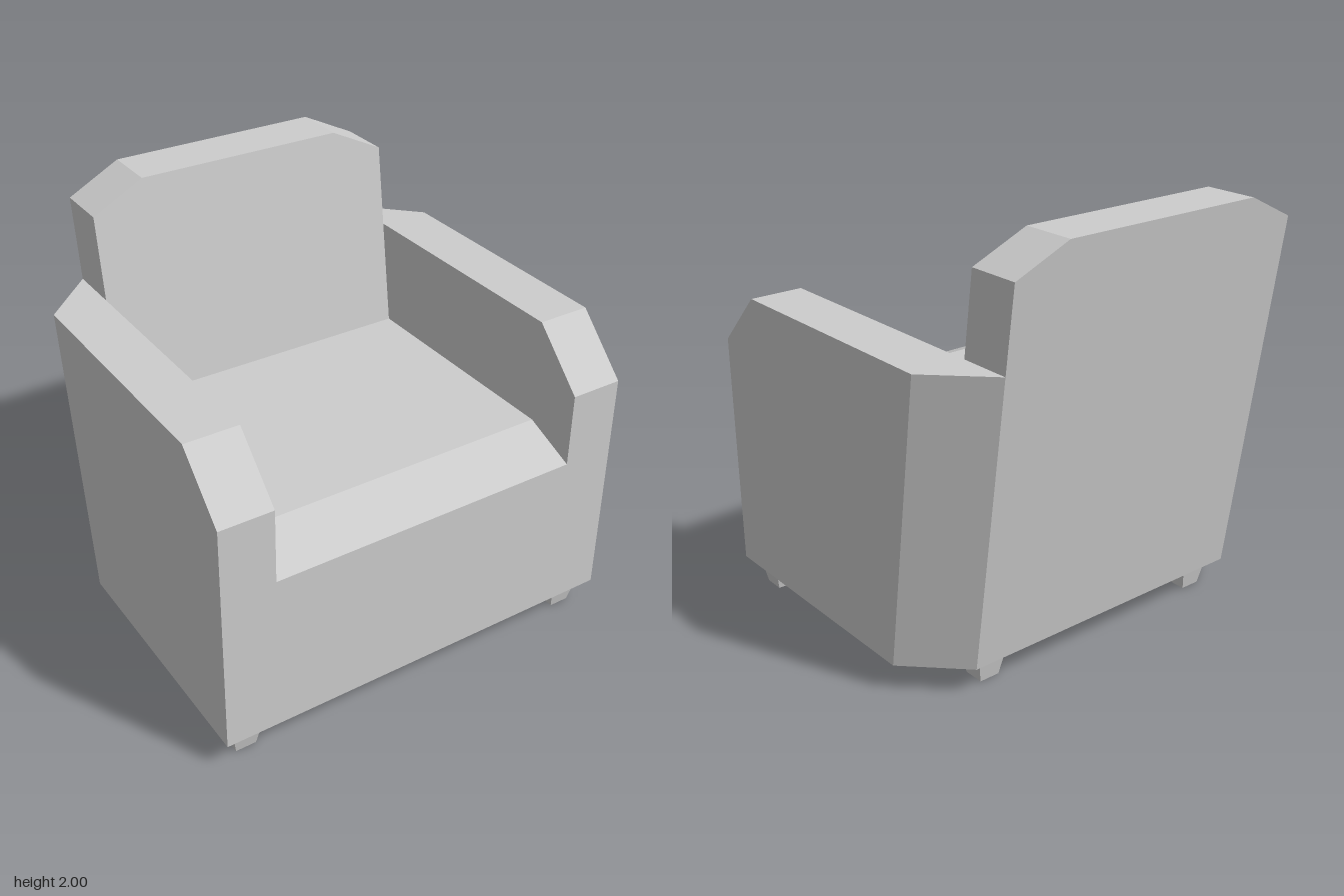
import * as THREE from 'three';

const BASE = 0.13;     // underside of the upholstery
const SLOPE = 0.146;   // backward lean of the rear
const lean = (y) => -SLOPE * (y - BASE);

const toShape = (points) => new THREE.Shape(points.map(([x, y]) => new THREE.Vector2(x, y)));

// Moves every vertex by a rule, then restores flat normals
function reshape(geometry, rule) {
  const flat = geometry.index ? geometry.toNonIndexed() : geometry;
  const pos = flat.attributes.position;
  const v = new THREE.Vector3();
  for (let i = 0; i < pos.count; i++) {
    v.fromBufferAttribute(pos, i);
    rule(v);
    pos.setXYZ(i, v.x, v.y, v.z);
  }
  flat.computeVertexNormals();
  return flat;
}

// Extrudes a side profile of [z, y] points across x0..x1
function sideSlab(profile, x0, x1) {
  const geometry = new THREE.ExtrudeGeometry(
    toShape(profile.map(([z, y]) => [-z, y])),
    { depth: x1 - x0, bevelEnabled: false }
  );
  geometry.rotateY(Math.PI / 2);
  geometry.translate(x0, 0, 0);
  return geometry;
}

export function createModel() {
  const group = new THREE.Group();
  group.name = 'armchair';
  const grey = new THREE.MeshStandardMaterial({ color: 0xcccccc });
  grey.name = 'lightGrey';

  const add = (name, geometry) => {
    const mesh = new THREE.Mesh(geometry, grey);
    mesh.name = name;
    group.add(mesh);
    return mesh;
  };

  // Seat block with a sloping front edge, ending against the backrest
  add('seat', sideSlab([
    [0.885, BASE], [0.885, 0.9], [0.635, 1], [-0.36 + lean(1), 1], [-0.36, BASE],
  ], -0.75, 0.75));

  // Leaning backrest with cut top corners
  const back = new THREE.ExtrudeGeometry(toShape([
    [-0.75, BASE], [0.75, BASE], [0.75, 1.88], [0.5, 2], [-0.5, 2], [-0.75, 1.88],
  ]), { depth: 0.25, bevelEnabled: false });
  add('backrest', reshape(back, (v) => { v.z += -0.61 + lean(v.y); }));

  // Arms: chamfered front top, outer rear corner cut at 45 degrees
  const armProfile = [
    [0.885, BASE], [0.885, 1.25], [0.635, 1.5], [-0.61 + lean(1.5), 1.5], [-0.61, BASE],
  ];
  for (const [name, x0, x1] of [['leftArm', 0.75, 1], ['rightArm', -1, -0.75]]) {
    add(name, reshape(sideSlab(armProfile, x0, x1), (v) => {
      if (Math.abs(v.x) > 0.99 && v.z < 0) v.z += 0.25;
    }));
  }

  // Tapered square legs, the rear pair set closer together
  const leg = new THREE.CylinderGeometry(0.074 * Math.SQRT2, 0.049 * Math.SQRT2, BASE, 4, 1);
  leg.rotateY(Math.PI / 4);
  const legGeometry = reshape(leg, () => {});
  for (const side of [1, -1]) {
    const s = side > 0 ? 'Left' : 'Right';
    add('front' + s + 'Leg', legGeometry).position.set(side * 0.875, BASE / 2, 0.765);
    add('rear' + s + 'Leg', legGeometry).position.set(side * 0.622, BASE / 2, -0.485);
  }

  return group;
}
